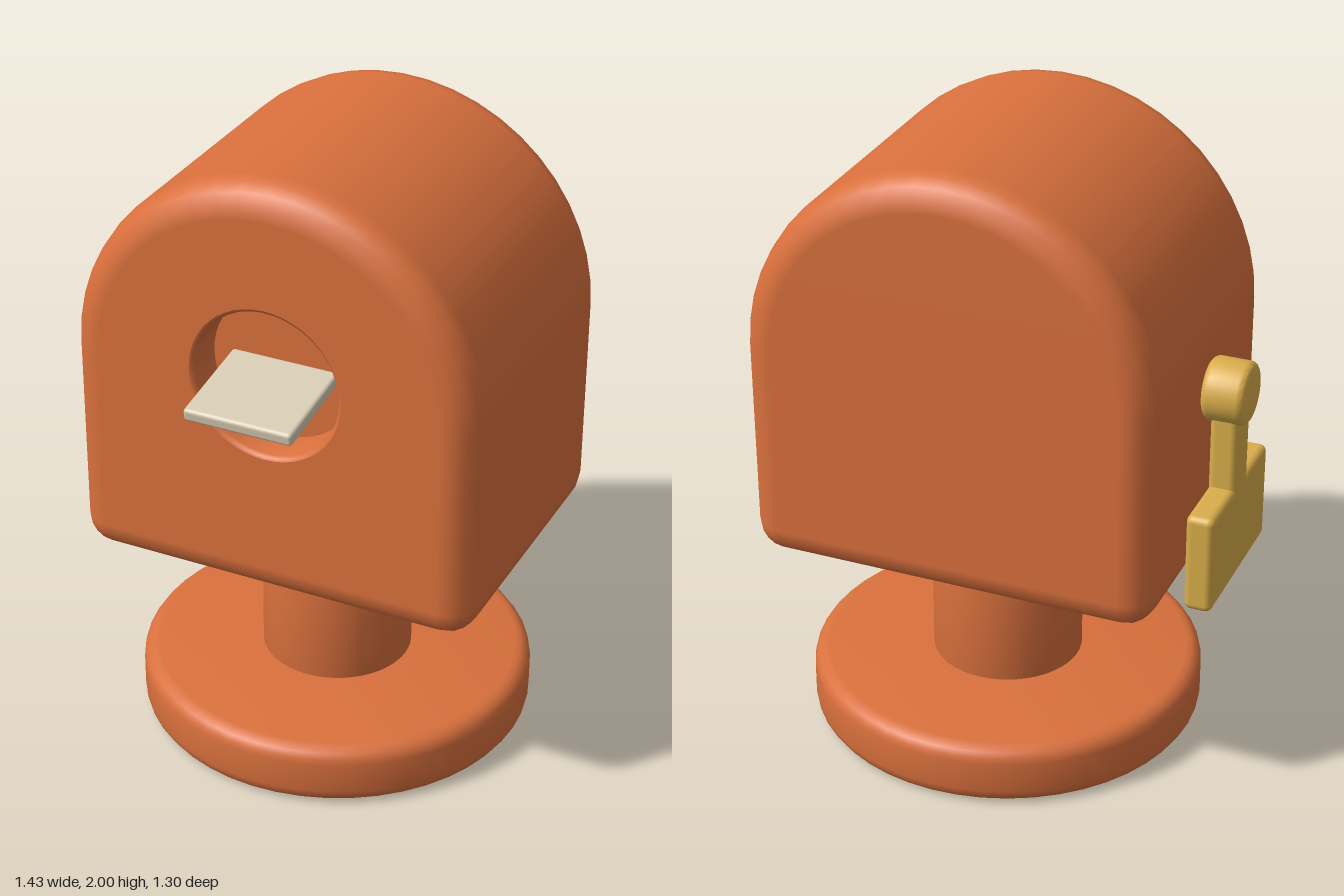
import * as THREE from 'three';
import { toCreasedNormals } from 'three/addons/utils/BufferGeometryUtils.js';
import { RoundedBoxGeometry } from 'three/addons/geometries/RoundedBoxGeometry.js';

const makeMaterial = (name, color) => {
  const m = new THREE.MeshStandardMaterial({ color });
  m.name = name;
  return m;
};

// Solid of revolution with rounded upper and lower rims
function roundedDisc(radius, y0, y1, r, segments = 48) {
  const pts = [new THREE.Vector2(0, y0)];
  for (const [cy, start] of [[y0 + r, -Math.PI / 2], [y1 - r, 0]]) {
    for (let i = 0; i <= 4; i++) {
      const a = start + (i / 4) * Math.PI / 2;
      pts.push(new THREE.Vector2(radius - r + r * Math.cos(a), cy + r * Math.sin(a)));
    }
  }
  pts.push(new THREE.Vector2(0, y1));
  return toCreasedNormals(new THREE.LatheGeometry(pts, segments), 0.6);
}

// Inner outline of the arched housing: points with outward directions, counter-clockwise
function archOutline() {
  const out = [];
  const add = (cx, cy, radius, a) => {
    const n = new THREE.Vector2(Math.cos(a), Math.sin(a));
    out.push({ p: new THREE.Vector2(cx + n.x * radius, cy + n.y * radius), n });
  };
  for (let i = 0; i <= 24; i++) add(0, 1.35, 0.55, (i / 24) * Math.PI);
  for (let i = 0; i <= 4; i++) add(-0.55, 0.755, 0, Math.PI + (i / 4) * Math.PI / 2);
  for (let i = 0; i <= 4; i++) add(0.55, 0.755, 0, 1.5 * Math.PI + (i / 4) * Math.PI / 2);
  return out;
}

// Housing wall: the outline swept from back to front with rounded edges
function housingWall(outline, zBack, zFront, r) {
  const pos = [], nor = [], idx = [], steps = 4, n = outline.length;
  const rings = [];
  for (let i = 0; i <= steps; i++) rings.push([zBack + r, -Math.PI / 2 * (1 - i / steps)]);
  for (let i = 0; i <= steps; i++) rings.push([zFront - r, Math.PI / 2 * (i / steps)]);
  rings.forEach(([z, a], k) => {
    const c = Math.cos(a), s = Math.sin(a);
    outline.forEach(({ p, n: d }, i) => {
      pos.push(p.x + d.x * r * c, p.y + d.y * r * c, z + r * s);
      nor.push(d.x * c, d.y * c, s);
      if (k === rings.length - 1) return;
      const j = (i + 1) % n, A = k * n + i, B = k * n + j;
      idx.push(A, B, B + n, A, B + n, A + n);
    });
  });
  const g = new THREE.BufferGeometry();
  g.setAttribute('position', new THREE.Float32BufferAttribute(pos, 3));
  g.setAttribute('normal', new THREE.Float32BufferAttribute(nor, 3));
  g.setIndex(idx);
  return g;
}

export function createModel() {
  const orange = makeMaterial('orange paint', 0xd9703d);
  const gold = makeMaterial('yellow gold', 0xd9ad4b);
  const cream = makeMaterial('cream', 0xd8ccb4);

  const model = new THREE.Group();
  model.name = 'mailbox';
  const add = (parent, name, geometry, material, x = 0, y = 0, z = 0) => {
    const mesh = new THREE.Mesh(geometry, material);
    mesh.name = name;
    mesh.position.set(x, y, z);
    parent.add(mesh);
    return mesh;
  };
  const cx = 0.065, cz = -0.025;

  // Stand
  add(model, 'base', roundedDisc(0.625, 0, 0.2, 0.05), orange, cx, 0, cz);
  add(model, 'post', roundedDisc(0.239, 0.15, 0.658, 0.04), orange, cx, 0, cz);

  // Arched housing with a round opening in the front
  const housing = new THREE.Group();
  housing.name = 'housing';
  housing.position.x = cx;
  model.add(housing);
  const zBack = -0.525, zFront = 0.475, openingY = 1.38, openingR = 0.245;
  const outline = archOutline();
  add(housing, 'housingWall', housingWall(outline, zBack, zFront, 0.1), orange);

  const face = outline.map(o => o.p).filter((p, i, all) => i === 0 || p.distanceTo(all[i - 1]) > 1e-4);
  const back = new THREE.ShapeGeometry(new THREE.Shape(face));
  back.rotateY(Math.PI);
  add(housing, 'backPanel', back, orange, 0, 0, zBack);

  const frontShape = new THREE.Shape(face);
  frontShape.holes.push(new THREE.Path().absarc(0, openingY, openingR, 0, Math.PI * 2, true));
  add(housing, 'frontPanel', new THREE.ShapeGeometry(frontShape, 24), orange, 0, 0, zFront);

  // Recess behind the opening, with a softened rim
  const recessProfile = [[openingR, 0], [0.237, -0.004], [0.232, -0.015], [0.232, -0.135], [0, -0.135]]
    .map(([r, y]) => new THREE.Vector2(r, y));
  const recess = toCreasedNormals(new THREE.LatheGeometry(recessProfile, 48), 0.8);
  recess.rotateX(Math.PI / 2);
  add(housing, 'openingRecess', recess, orange, 0, openingY, zFront);

  // Envelope sticking out of the opening, tilted down
  const letter = add(model, 'letter', new RoundedBoxGeometry(0.345, 0.042, 0.32, 2, 0.012), cream, cx, 1.356, 0.49);
  letter.rotation.x = 0.15;

  // Signal flag hanging on the right side
  const flag = new THREE.Group();
  flag.name = 'flag';
  flag.position.set(-0.655, 0, -0.027);
  model.add(flag);
  const hub = roundedDisc(0.098, -0.065, 0.068, 0.022, 32);
  hub.rotateZ(-Math.PI / 2);
  add(flag, 'flagHub', hub, gold, 0, 1.257, 0);
  add(flag, 'flagArm', new RoundedBoxGeometry(0.088, 0.34, 0.125, 3, 0.022), gold, 0, 1.07, 0);
  add(flag, 'flagPlate', new RoundedBoxGeometry(0.088, 0.322, 0.515, 3, 0.022), gold, 0, 0.794, 0);

  return model;
}
